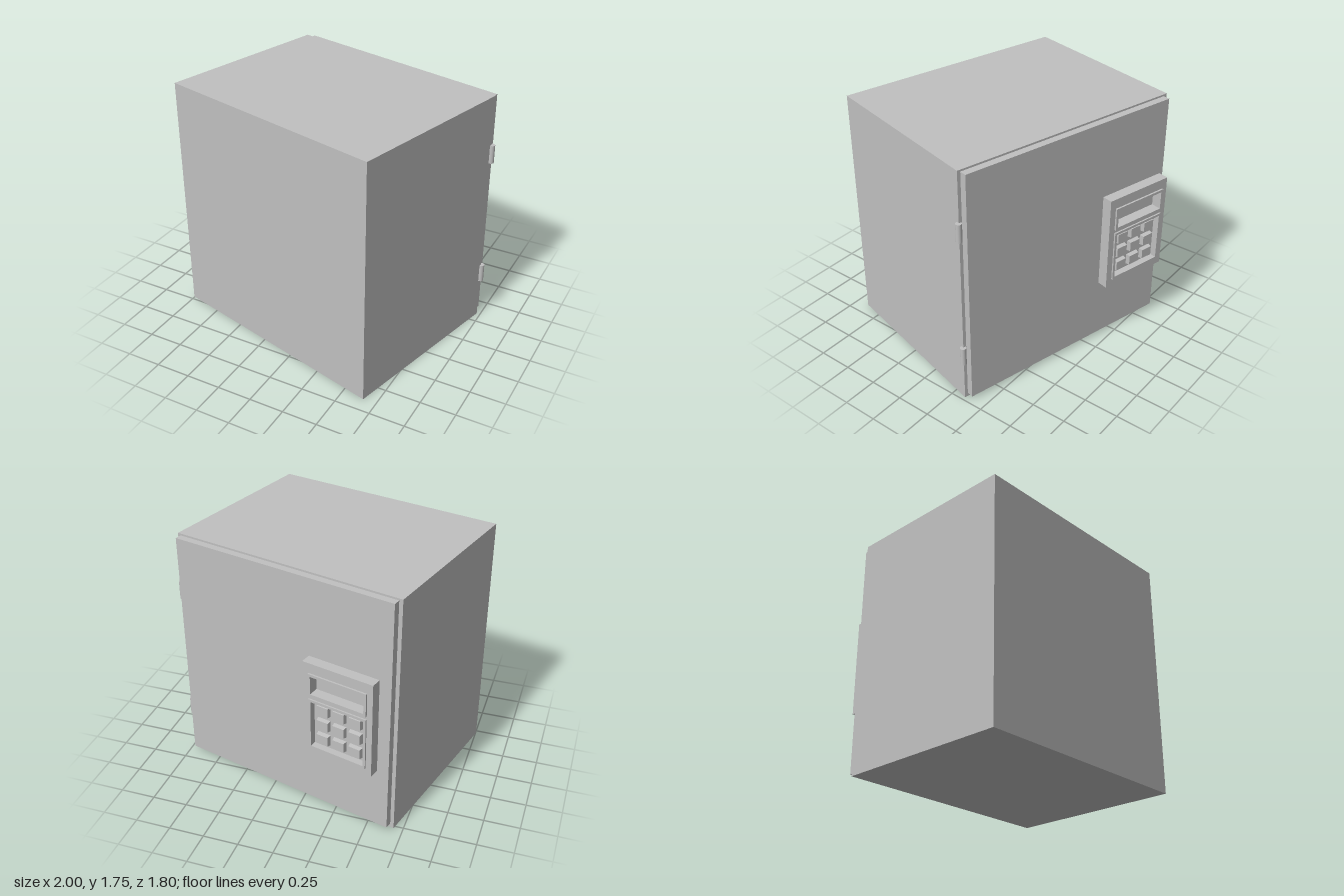
import * as THREE from 'three';

export function createModel() {
  const model = new THREE.Group();
  model.name = 'safe';
  const grey = new THREE.MeshStandardMaterial({ color: 0xc0c0c0 });
  grey.name = 'light grey metal';

  // The safe stands turned about the vertical, its door towards the back
  const safe = new THREE.Group();
  safe.name = 'turnedSafe';
  safe.position.set(-0.015, 0, 0.064);
  safe.rotation.y = -0.2506;
  model.add(safe);

  const add = (name, geometry, parent = safe) => {
    const mesh = new THREE.Mesh(geometry, grey);
    mesh.name = name;
    parent.add(mesh);
    return mesh;
  };

  const slab = (name, x0, x1, y0, y1, z0, z1, parent) => {
    const mesh = add(name, new THREE.BoxGeometry(x1 - x0, y1 - y0, z1 - z0), parent);
    mesh.position.set((x0 + x1) / 2, (y0 + y1) / 2, (z0 + z1) / 2);
    return mesh;
  };

  const trace = (path, [x0, x1, y0, y1]) => {
    path.moveTo(x0, y0);
    path.lineTo(x1, y0);
    path.lineTo(x1, y1);
    path.lineTo(x0, y1);
    path.closePath();
    return path;
  };

  // Plate with rectangular openings
  const frame = (name, outer, holes, z0, z1, parent) => {
    const shape = trace(new THREE.Shape(), outer);
    holes.forEach(h => shape.holes.push(trace(new THREE.Path(), h)));
    const geometry = new THREE.ExtrudeGeometry(shape, { depth: z1 - z0, bevelEnabled: false });
    geometry.translate(0, 0, z0);
    return add(name, geometry, parent);
  };

  // Cabinet and door
  slab('cabinet', -0.857, 0.857, 0, 1.755, -0.6415, 0.6415);
  slab('door', -0.83, 0.834, 0.03, 1.742, -0.692, -0.6415);

  // Hinge barrels
  for (const y of [0.368, 1.33]) {
    const hinge = add('hinge', new THREE.CylinderGeometry(0.021, 0.021, 0.132, 20));
    hinge.position.set(0.86, y, -0.643);
  }

  // Lock panel: housing, rimmed screen and rimmed keypad
  const panel = new THREE.Group();
  panel.name = 'lockPanel';
  safe.add(panel);
  const outer = [-0.763, -0.243, 0.51, 1.21];
  const screen = [-0.722, -0.29, 0.97, 1.138];
  const keypad = [-0.722, -0.29, 0.562, 0.945];
  const inset = ([x0, x1, y0, y1], d) => [x0 + d, x1 - d, y0 + d, y1 - d];

  slab('panelBack', -0.763, -0.243, 0.51, 1.21, -0.74, -0.726, panel);
  frame('panelHousing', outer, [screen, keypad], -0.802, -0.74, panel);
  frame('screenRim', screen, [inset(screen, 0.018)], -0.815, -0.74, panel);
  frame('keypadRim', keypad, [inset(keypad, 0.018)], -0.813, -0.74, panel);
  const [kx0, kx1, ky0, ky1] = inset(keypad, 0.018);
  slab('keypadFloor', kx0, kx1, ky0, ky1, -0.765, -0.74, panel);

  // Slightly tapered keys
  const keyShape = new THREE.BoxGeometry(0.096, 0.08, 0.034).toNonIndexed();
  const p = keyShape.attributes.position;
  for (let i = 0; i < p.count; i++) {
    if (p.getZ(i) < 0) p.setXY(i, p.getX(i) * 0.88, p.getY(i) * 0.86);
  }
  keyShape.computeVertexNormals();
  for (let row = -1; row <= 1; row++) {
    for (let col = -1; col <= 1; col++) {
      const key = add('key', keyShape, panel);
      key.position.set(-0.506 + col * 0.122, 0.756 + row * 0.113, -0.778);
    }
  }

  return model;
}
